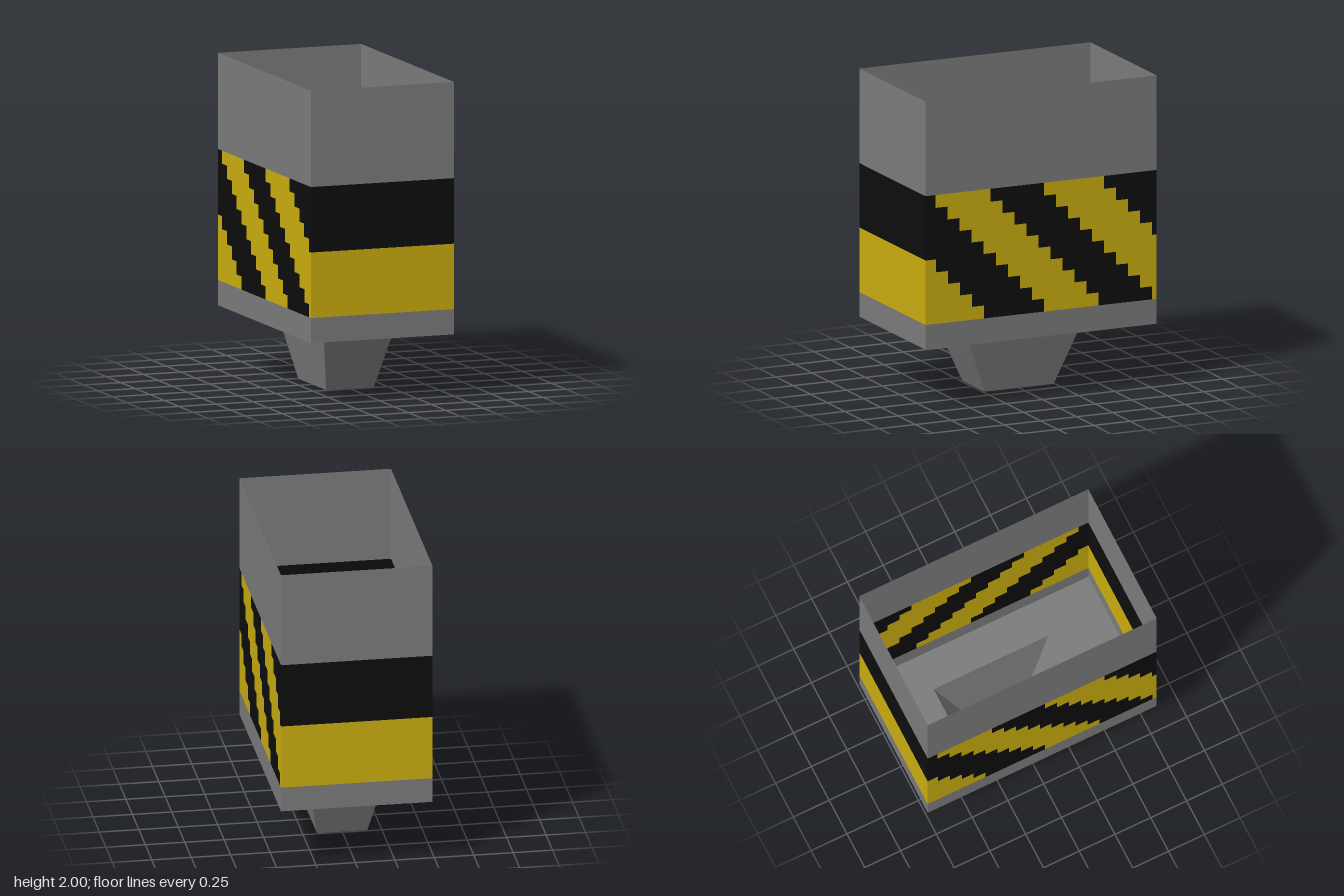
import * as THREE from 'three';
import { mergeGeometries } from 'three/addons/utils/BufferGeometryUtils.js';

const HX = 0.48, HZ = 0.8;                       // half width and half depth of the bin
const FLOOR = 0.4, BAND_LOW = 0.56, BAND_MID = 0.975, BAND_HIGH = 1.39, TOP = 2;

export function createModel() {
  const material = (name, color) => {
    const m = new THREE.MeshStandardMaterial({ color, side: THREE.DoubleSide });
    m.name = name;
    return m;
  };
  const steel = material('steel grey', 0x7c7c7c);
  const yellow = material('hazard yellow', 0xcbae10);
  const black = material('hazard black', 0x0d0d0d);

  const mesh = (name, geometry, mat) => {
    const m = new THREE.Mesh(geometry, mat);
    m.name = name;
    return m;
  };

  // Thin wall sheets: across the front, and along the side from zA down to zB
  const frontPanel = (y0, y1) =>
    new THREE.PlaneGeometry(2 * HX, y1 - y0).translate(0, (y0 + y1) / 2, HZ);
  const sidePanel = (y0, y1, zA = HZ, zB = -HZ) =>
    new THREE.PlaneGeometry(zA - zB, y1 - y0).rotateY(Math.PI / 2)
      .translate(HX, (y0 + y1) / 2, (zA + zB) / 2);

  // Stepped diagonal stripes, ten rows shifting back by one step each
  const edges = [1.145, 0.73, 0.35, -0.02, -0.435];
  const rows = 10, step = 0.0833, rowHeight = (BAND_HIGH - BAND_LOW) / rows;
  const stripes = [[], []];                      // yellow, black
  for (let i = 0; i < rows; i++) {
    const y1 = BAND_HIGH - i * rowHeight;
    const cuts = [9, ...edges.map(z => z - i * step), -9]
      .map(z => THREE.MathUtils.clamp(z, -HZ, HZ));
    for (let k = 0; k + 1 < cuts.length; k++) {
      if (cuts[k] - cuts[k + 1] > 0.001) {
        stripes[k % 2].push(sidePanel(y1 - rowHeight, y1, cuts[k], cuts[k + 1]));
      }
    }
  }

  const steelWalls = mergeGeometries([
    frontPanel(FLOOR, BAND_LOW), frontPanel(BAND_HIGH, TOP),
    sidePanel(FLOOR, BAND_LOW), sidePanel(BAND_HIGH, TOP),
  ]);
  const yellowStripes = mergeGeometries(stripes[0]);
  const blackStripes = mergeGeometries(stripes[1]);
  const yellowBand = frontPanel(BAND_LOW, BAND_MID);
  const blackBand = frontPanel(BAND_MID, BAND_HIGH);

  const model = new THREE.Group();
  model.name = 'hopper';

  // One end wall and one side wall, repeated by a half turn
  ['frontAndRightWalls', 'backAndLeftWalls'].forEach((name, i) => {
    const half = new THREE.Group();
    half.name = name;
    half.rotation.y = i * Math.PI;
    half.add(
      mesh('steelWalls', steelWalls, steel),
      mesh('yellowStripes', yellowStripes, yellow),
      mesh('blackStripes', blackStripes, black),
      mesh('yellowBand', yellowBand, yellow),
      mesh('blackBand', blackBand, black),
    );
    model.add(half);
  });

  // Floor with the chute opening
  const rect = (hx, hz) => [[-hx, -hz], [hx, -hz], [hx, hz], [-hx, hz]]
    .map(([x, y]) => new THREE.Vector2(x, y));
  const floorShape = new THREE.Shape(rect(HX, HZ));
  floorShape.holes.push(new THREE.Path(rect(0.24, 0.4)));
  const floor = new THREE.ShapeGeometry(floorShape).rotateX(-Math.PI / 2).translate(0, FLOOR, 0);
  model.add(mesh('floor', floor, steel));

  // Tapered chute: a box without its lid, narrowed at the bottom
  let chute = new THREE.BoxGeometry(0.48, FLOOR, 0.8).translate(0, FLOOR / 2, 0);
  chute.setIndex([...chute.index.array].filter((_, i) => i < 12 || i >= 18));
  chute.clearGroups();
  const p = chute.attributes.position;
  for (let i = 0; i < p.count; i++) {
    if (p.getY(i) < 0.01) p.setXYZ(i, Math.sign(p.getX(i)) * 0.16, 0, Math.sign(p.getZ(i)) * 0.24);
  }
  chute = chute.toNonIndexed();
  chute.computeVertexNormals();
  model.add(mesh('chute', chute, steel));

  return model;
}
